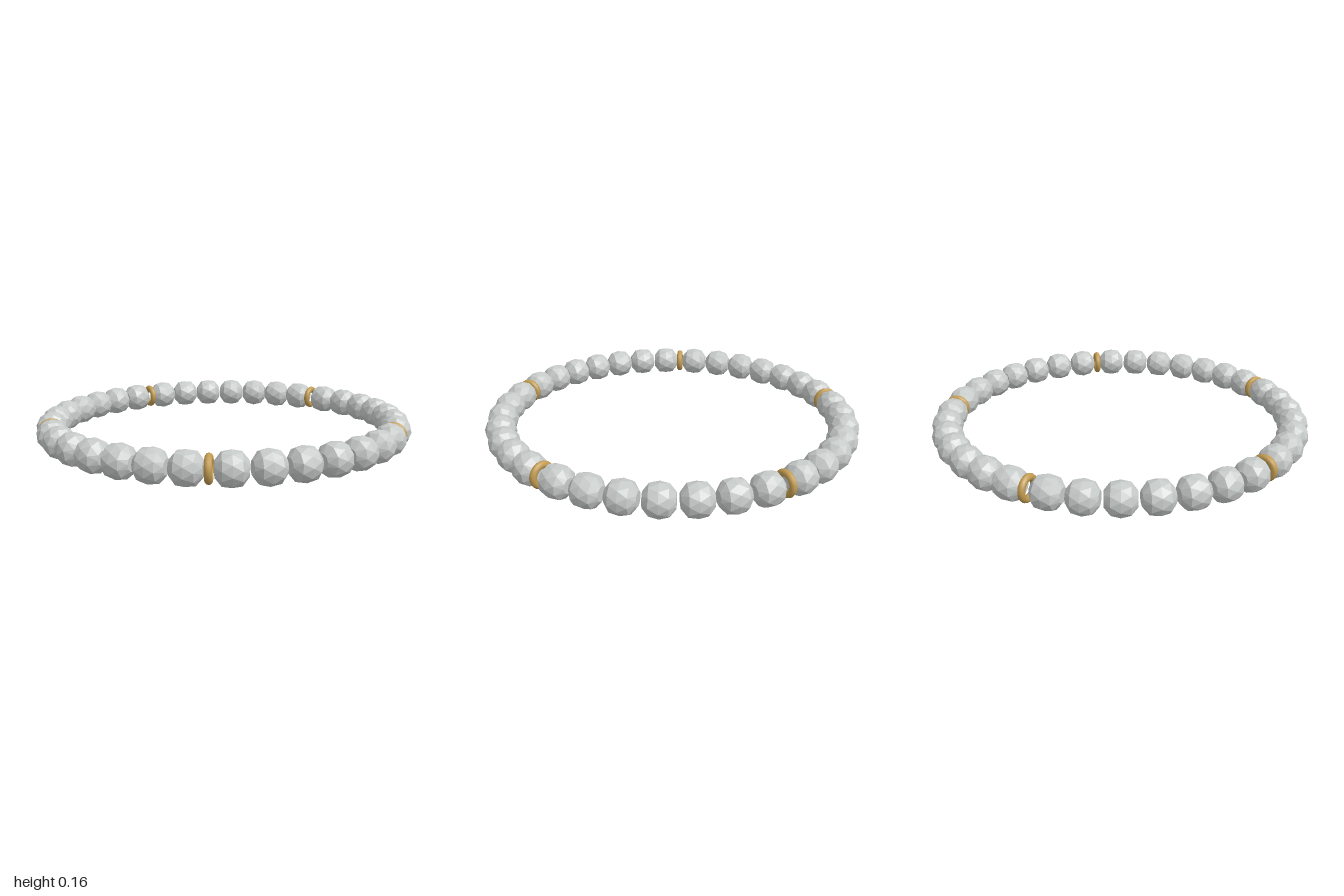
import * as THREE from 'three';

const RX = 0.919, RZ = 0.907, HEIGHT = 0.081; // slightly oval strand
const SIDES = 10;

// Faceted bead: each ring is turned half a step so its bands become triangles
function beadGeometry() {
  const profile = [[0, -0.073], [0.037, -0.073], [0.074, -0.044], [0.082, 0],
    [0.074, 0.044], [0.037, 0.073], [0, 0.073]].map(([r, y]) => new THREE.Vector2(r, y));
  const geometry = new THREE.LatheGeometry(profile, SIDES);
  const pos = geometry.attributes.position;
  const up = new THREE.Vector3(0, 1, 0), v = new THREE.Vector3();
  for (let i = 0; i < pos.count; i++) {
    const ring = i % profile.length;
    v.fromBufferAttribute(pos, i).applyAxisAngle(up, ring * Math.PI / SIDES);
    pos.setXYZ(i, v.x, v.y, v.z);
  }
  geometry.computeVertexNormals();
  return geometry.rotateX(Math.PI / 2); // hole axis along the strand
}

export function createModel() {
  const model = new THREE.Group();
  model.name = 'beadBracelet';

  const stone = new THREE.MeshStandardMaterial({ color: 0xc6cac8, flatShading: true });
  stone.name = 'pale grey stone';
  const gold = new THREE.MeshStandardMaterial({ color: 0xc29c52 });
  gold.name = 'gold';

  const bead = beadGeometry();
  const spacer = new THREE.TorusGeometry(0.05, 0.0175, 10, 28);

  // Place a part on the strand, turned to face along it
  const place = (name, geometry, material, degrees, spin = 0) => {
    const a = THREE.MathUtils.degToRad(degrees);
    const mesh = new THREE.Mesh(geometry, material);
    mesh.name = name;
    mesh.position.set(RX * Math.cos(a) - 0.002, HEIGHT, RZ * Math.sin(a) - 0.002);
    mesh.rotation.set(0, -a, spin);
    model.add(mesh);
  };

  // Five gold spacers, with seven beads after each
  const spacerAngles = [0.6, 74.1, 146.1, 217.4, 289.7, 360.6];
  for (let s = 0; s < 5; s++) {
    const start = spacerAngles[s], span = spacerAngles[s + 1] - start;
    place('goldSpacer', spacer, gold, start);
    for (let b = 0; b < 7; b++) {
      place('bead', bead, stone, start + span * (6 + 10 * b) / 72, (s * 7 + b) * 2.4);
    }
  }
  return model;
}
